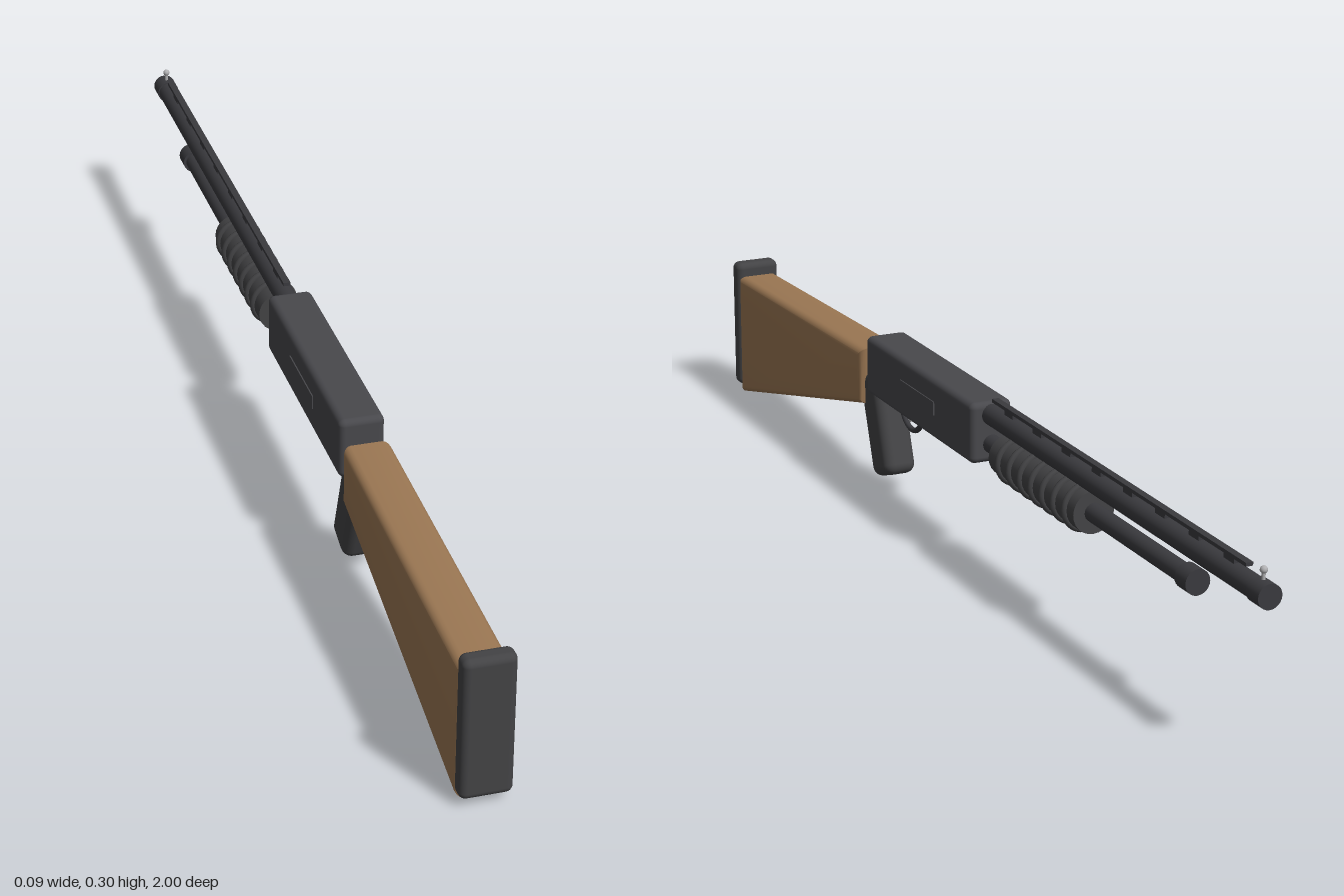
import * as THREE from 'three';
import { toCreasedNormals } from 'three/addons/utils/BufferGeometryUtils.js';
import { RoundedBoxGeometry } from 'three/addons/geometries/RoundedBoxGeometry.js';

const mat = (name, color) => {
  const m = new THREE.MeshStandardMaterial({ color });
  m.name = name;
  return m;
};

export function createModel() {
  const wood = mat('walnut', 0x9b7753);
  const steel = mat('receiver steel', 0x48484c);
  const blued = mat('blued steel', 0x3a3a3e);
  const polymer = mat('black polymer', 0x434345);
  const silver = mat('silver', 0xb0b0b2);

  const model = new THREE.Group();
  model.name = 'pumpShotgun';

  const add = (name, geo, material, x, y, z) => {
    const m = new THREE.Mesh(geo, material);
    m.name = name;
    m.position.set(x, y, z);
    model.add(m);
    return m;
  };
  const rounded = (w, h, d, r) => new RoundedBoxGeometry(w, h, d, 4, r);
  // Cylinder along z, spanning z0 (rear) to z1 (muzzle side)
  const rod = (name, r, y, z0, z1, material) =>
    add(name, new THREE.CylinderGeometry(r, r, z0 - z1, 24).rotateX(Math.PI / 2), material, 0, y, (z0 + z1) / 2);

  // Buttstock: side profile in (z, y), extruded across x with a rounded bevel
  const bevel = 0.014, width = 0.08;
  const profile = new THREE.Shape([
    [0.972, 0.002], [0.972, 0.236], [0.374, 0.254], [0.374, 0.152],
  ].map(([z, y]) => new THREE.Vector2(z, y)));
  const stock = new THREE.ExtrudeGeometry(profile, {
    depth: width - 2 * bevel, bevelSize: bevel, bevelThickness: bevel,
    bevelOffset: -bevel, bevelSegments: 4,
  });
  stock.translate(0, 0, -(width / 2 - bevel)).rotateY(-Math.PI / 2);
  add('stock', toCreasedNormals(stock, 0.6), wood, 0, 0, 0);
  add('buttPad', rounded(0.084, 0.246, 0.034, 0.012), polymer, 0, 0.139, 0.983);

  // Receiver with a thin plate on each side
  add('receiver', rounded(0.076, 0.106, 0.44, 0.011), steel, 0, 0.233, 0.133);
  for (const s of [1, -1]) {
    add(s > 0 ? 'leftPortPlate' : 'rightPortPlate', new THREE.BoxGeometry(0.003, 0.024, 0.14), steel,
      s * 0.0385, 0.236, 0.13);
  }

  // Pistol grip, trigger and guard
  const grip = add('grip', rounded(0.06, 0.19, 0.076, 0.018), polymer, 0, 0.122, 0.345);
  grip.rotation.x = 0.34;
  add('triggerGuard', new THREE.TorusGeometry(0.045, 0.005, 10, 40).rotateY(Math.PI / 2), blued, 0, 0.185, 0.237);
  const trigger = add('trigger', new THREE.BoxGeometry(0.01, 0.032, 0.008), silver, 0, 0.171, 0.239);
  trigger.rotation.x = 0.2;

  // Barrel and magazine tube
  rod('barrel', 0.018, 0.264, -0.07, -0.99, blued);
  rod('muzzle', 0.02, 0.264, -0.965, -1, blued);
  rod('magazineTube', 0.016, 0.213, -0.07, -0.77, blued);
  rod('magazineCap', 0.021, 0.213, -0.758, -0.792, blued);

  // Ventilated rib on short posts, then the bead sight
  add('rib', new THREE.BoxGeometry(0.012, 0.006, 0.84), blued, 0, 0.293, -0.52);
  for (let i = 0; i < 8; i++) {
    add('ribPost', new THREE.BoxGeometry(0.009, 0.012, 0.03), blued, 0, 0.285, -0.16 - i * 0.104);
  }
  add('sightPost', new THREE.CylinderGeometry(0.003, 0.003, 0.022, 10), silver, 0, 0.289, -0.98);
  add('sightBead', new THREE.SphereGeometry(0.006, 14, 10), silver, 0, 0.299, -0.98);

  // Sliding fore-end with raised ridges
  rod('foreEnd', 0.036, 0.213, -0.15, -0.457, polymer);
  for (let i = 0; i < 7; i++) {
    add('foreEndRidge', new THREE.TorusGeometry(0.0365, 0.006, 8, 32), polymer, 0, 0.213, -0.188 - i * 0.04);
  }

  return model;
}
